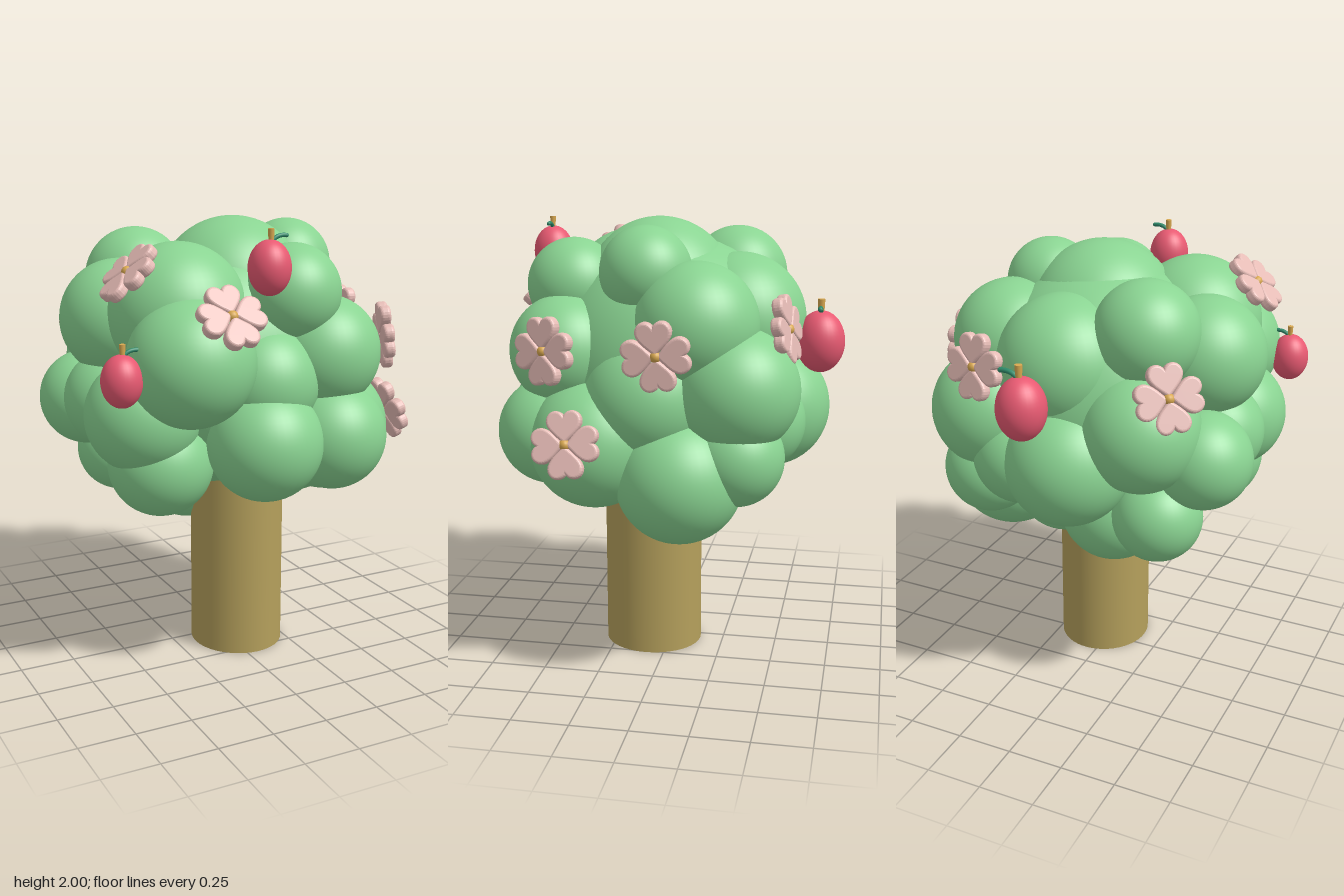
import * as THREE from 'three';

const material = (color) => new THREE.MeshStandardMaterial({ color });
const bark = material(0xb5a05c), leafGreen = material(0x8ad492), red = material(0xe85a72);
const pink = material(0xe6bcb6), gold = material(0xd8a850), teal = material(0x2f8a6a);

function addMesh(parent, name, geometry, mat, x = 0, y = 0, z = 0) {
  const mesh = new THREE.Mesh(geometry, mat);
  mesh.name = name;
  mesh.position.set(x, y, z);
  parent.add(mesh);
  return mesh;
}

// Canopy puffs: x, y, z, radius
const puffs = [
  // core that fills the creases
  [0, 1.35, 0, 0.57],
  // crown
  [0.04, 1.66, 0.05, 0.34], [-0.32, 1.62, 0.25, 0.3], [-0.3, 1.71, -0.26, 0.23],
  [0.14, 1.7, 0.42, 0.21], [0.31, 1.78, 0.06, 0.2], [0.38, 1.57, -0.17, 0.27],
  [0.05, 1.55, -0.31, 0.3], [-0.48, 1.57, -0.02, 0.26],
  // front
  [-0.37, 1.45, 0.49, 0.27], [-0.04, 1.08, 0.52, 0.25], [0.31, 1.07, 0.49, 0.24],
  [0.3, 1.43, 0.42, 0.25], [0, 1.33, 0.43, 0.24],
  // left side
  [0.4, 1.05, 0.27, 0.29], [0.445, 0.91, -0.11, 0.28], [0.38, 1.25, 0.04, 0.28],
  [0.42, 1.01, -0.35, 0.21], [0.4, 1.3, -0.35, 0.27],
  // right side
  [-0.56, 1.18, -0.24, 0.215], [-0.5, 1.2, 0.28, 0.25], [-0.42, 0.98, 0.28, 0.23],
  [-0.52, 1.22, 0, 0.22],
  // back and underside
  [-0.02, 1.15, -0.44, 0.28], [0.22, 1.13, -0.41, 0.22], [-0.33, 1.32, -0.38, 0.26],
  [-0.38, 0.9, -0.3, 0.2], [-0.1, 0.82, -0.14, 0.25], [0.2, 0.84, -0.05, 0.23],
];

function makeCanopy() {
  const canopy = new THREE.Group();
  canopy.name = 'canopy';
  const sphere = new THREE.SphereGeometry(1, 48, 32);
  for (const [x, y, z, r] of puffs) {
    addMesh(canopy, 'leafPuff', sphere, leafGreen, x, y, z).scale.setScalar(r);
  }
  return canopy;
}

// Heart-shaped petal pointing up from the flower centre
function petalGeometry() {
  const s = new THREE.Shape();
  s.moveTo(0, 0.008);
  s.bezierCurveTo(0.02, 0.03, 0.082, 0.07, 0.07, 0.11);
  s.bezierCurveTo(0.058, 0.148, 0.014, 0.146, 0, 0.115);
  s.bezierCurveTo(-0.014, 0.146, -0.058, 0.148, -0.07, 0.11);
  s.bezierCurveTo(-0.082, 0.07, -0.02, 0.03, 0, 0.008);
  const g = new THREE.ExtrudeGeometry(s, {
    depth: 0.02, bevelThickness: 0.014, bevelSize: 0.012, bevelOffset: -0.008,
    bevelSegments: 4, curveSegments: 10,
  });
  return g.translate(0, 0, -0.01);
}

// Flowers: position, then facing direction
const flowers = [
  [-0.28, 1.66, 0.675, 0, 0.68, 0.73],
  [-0.57, 1.81, 0.325, -0.7, 0.7, 0],
  [-0.49, 1.53, -0.475, -0.55, 0.4, -0.73],
  [0.36, 1.56, -0.55, 0.2, 0.2, -0.95],
  [0.7, 1.49, -0.06, 1, 0, 0],
  [0.61, 1.48, 0.43, 0.92, 0.1, 0.39],
  [0.71, 1.11, 0.32, 0.95, 0.32, 0],
];

function makeFlower(petal, [x, y, z, nx, ny, nz]) {
  const flower = new THREE.Group();
  flower.name = 'flower';
  for (let i = 0; i < 4; i++) {
    addMesh(flower, 'petal', petal, pink).rotation.z = (i * Math.PI) / 2 + 0.1;
  }
  addMesh(flower, 'flowerCentre', new THREE.SphereGeometry(0.024, 16, 12), gold, 0, 0, 0.008);
  flower.position.set(x, y, z);
  flower.lookAt(x + nx, y + ny, z + nz);
  return flower;
}

// Fruit with a stem and a small leaf reaching to +x
function makeFruit(x, y, z, r) {
  const fruit = new THREE.Group();
  fruit.name = 'fruit';
  addMesh(fruit, 'fruitBody', new THREE.SphereGeometry(1, 32, 24), red).scale.set(1, 1.27, 1);
  addMesh(fruit, 'stem', new THREE.CylinderGeometry(0.15, 0.12, 0.65, 12), gold, 0.06, 1.42, 0);
  const curve = new THREE.QuadraticBezierCurve3(
    new THREE.Vector3(0.06, 1.1, 0), new THREE.Vector3(0.3, 1.5, 0), new THREE.Vector3(0.85, 1.42, 0));
  addMesh(fruit, 'fruitLeaf', new THREE.TubeGeometry(curve, 12, 0.1, 10), teal);
  addMesh(fruit, 'leafTip', new THREE.SphereGeometry(0.1, 10, 8), teal, 0.85, 1.42, 0);
  fruit.position.set(x, y, z);
  fruit.scale.setScalar(r);
  return fruit;
}

export function createModel() {
  const tree = new THREE.Group();
  tree.name = 'tree';

  // Trunk, slightly oval
  addMesh(tree, 'trunk', new THREE.CylinderGeometry(1, 1, 1.1, 48), bark, 0.05, 0.55, 0.082)
    .scale.set(0.212, 1, 0.225);

  tree.add(makeCanopy());

  const petal = petalGeometry();
  for (const f of flowers) tree.add(makeFlower(petal, f));

  tree.add(makeFruit(-0.055, 1.83, 0.57, 0.09));
  tree.add(makeFruit(-0.69, 1.415, 0.53, 0.085));
  tree.add(makeFruit(0.07, 1.465, -0.675, 0.108));
  return tree;
}
